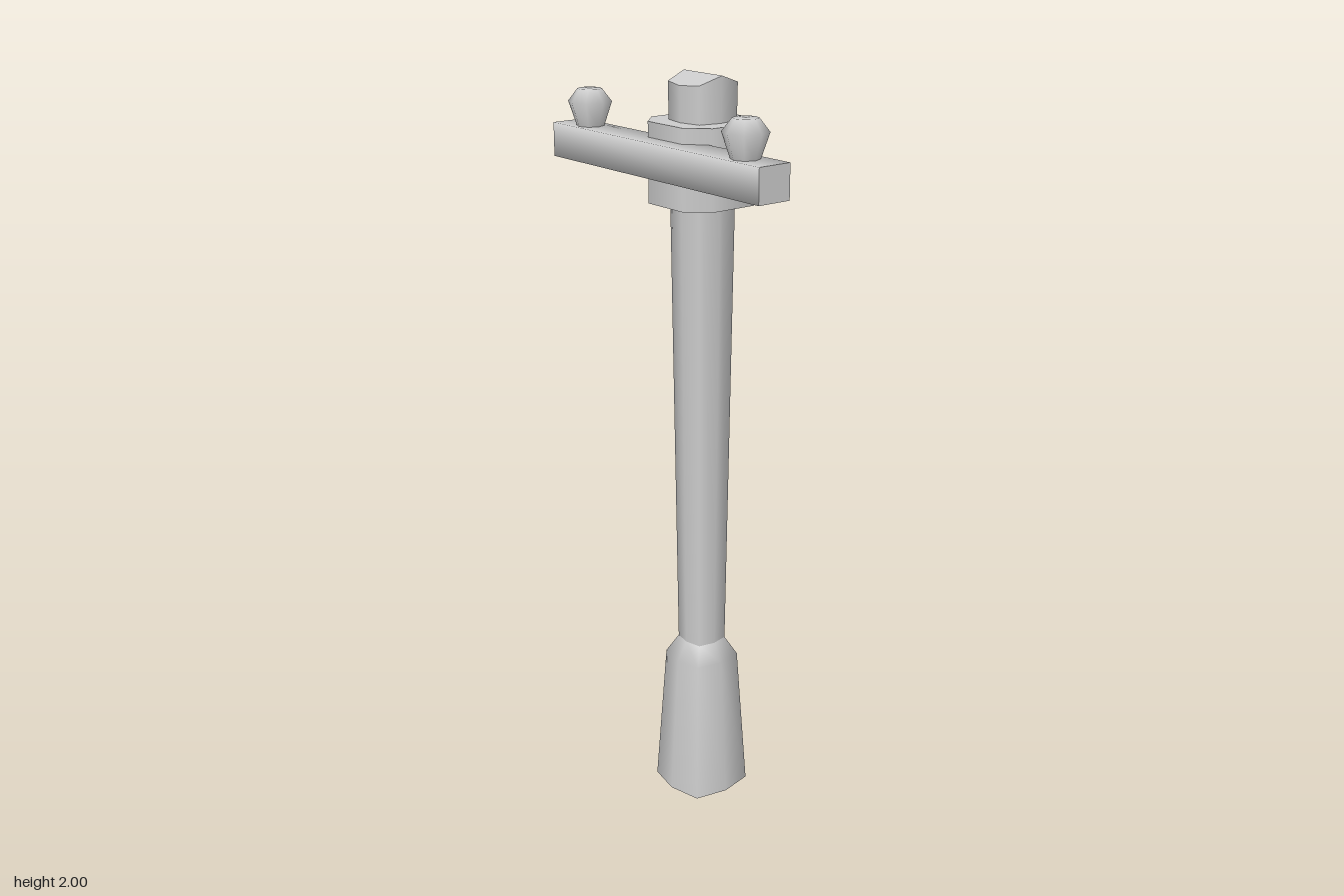
import * as THREE from 'three';

const material = new THREE.MeshStandardMaterial({ color: 0xcccccc });
const POLE_X = 0.03;

// Eight-sided solid of revolution, profile given bottom to top as [radius, y]
function lathe(profile, phi = 0) {
  return new THREE.LatheGeometry(profile.map(([r, y]) => new THREE.Vector2(r, y)), 8, phi);
}

// Move every vertex of a geometry by a rule
function reshape(geometry, rule) {
  const pos = geometry.attributes.position;
  const v = new THREE.Vector3();
  for (let i = 0; i < pos.count; i++) {
    rule(v.fromBufferAttribute(pos, i));
    pos.setXYZ(i, v.x, v.y, v.z);
  }
  return geometry;
}

// Push the diagonal corners out for a squarish octagon
function squarish(v) {
  if (Math.min(Math.abs(v.x), Math.abs(v.z)) > 0.001) {
    v.x *= 1.17;
    v.z *= 1.17;
  }
}

// Octagon with wide flats and narrower chamfers
function chamfered(v) {
  const r = Math.hypot(v.x, v.z);
  if (r < 0.01) return;
  const xLong = Math.abs(v.x) > Math.abs(v.z);
  v.x = Math.sign(v.x) * (xLong ? 0.12 : 0.068);
  v.z = Math.sign(v.z) * (xLong ? 0.068 : 0.12);
}

// Gable slope falling to both sides of a ridge along z
function gable(v) {
  squarish(v);
  if (v.y > 1.99) v.y = 2 - 0.34 * Math.abs(v.x);
}

function flat(geometry) {
  const g = geometry.toNonIndexed();
  g.computeVertexNormals();
  return g;
}

export function createModel() {
  const model = new THREE.Group();
  const add = (name, geometry, x = 0, y = 0, z = 0) => {
    const mesh = new THREE.Mesh(geometry, material);
    mesh.name = name;
    mesh.position.set(x, y, z);
    model.add(mesh);
  };

  // Flared foot
  add('base', reshape(lathe([[0.11, 0], [0.085, 0.4], [0.055, 0.45]]), squarish), POLE_X);
  add('baseUnderside', flat(reshape(lathe([[0, 0], [0.11, 0]]), squarish)), POLE_X);

  // Shaft widening upwards, closed by a ridged top
  add('shaft', reshape(lathe([[0.055, 0.45], [0.074, 2]]), gable), POLE_X);
  add('ridgedTop', flat(reshape(lathe([[0.074, 2], [0, 2]]), gable)), POLE_X);

  // Collar around the shaft
  const phi = Math.PI / 8;
  add('collar', reshape(lathe([[0.13, 1.68], [0.13, 1.885]], phi), chamfered), POLE_X);
  add('collarUnderside', flat(reshape(lathe([[0, 1.68], [0.13, 1.68]], phi), chamfered)), POLE_X);
  add('collarTop', flat(reshape(lathe([[0.13, 1.885], [0, 1.885]], phi), chamfered)), POLE_X);

  // Crossbar: four sides shaded smoothly, flat ends
  const bar = new THREE.CylinderGeometry(Math.SQRT1_2, Math.SQRT1_2, 1, 4, 1, false, Math.PI / 4);
  bar.rotateX(Math.PI / 2).scale(0.095, 0.088, 0.812);
  add('crossbar', bar, -0.093, 1.802, 0);

  // Insulator knobs
  for (const side of [-1, 1]) {
    const knob = lathe([[0.034, 1.84], [0.057, 1.908], [0.032, 1.94], [0, 1.94]]);
    add(side > 0 ? 'frontInsulator' : 'backInsulator', knob, -0.094, 0, side * 0.305);
  }
  return model;
}
